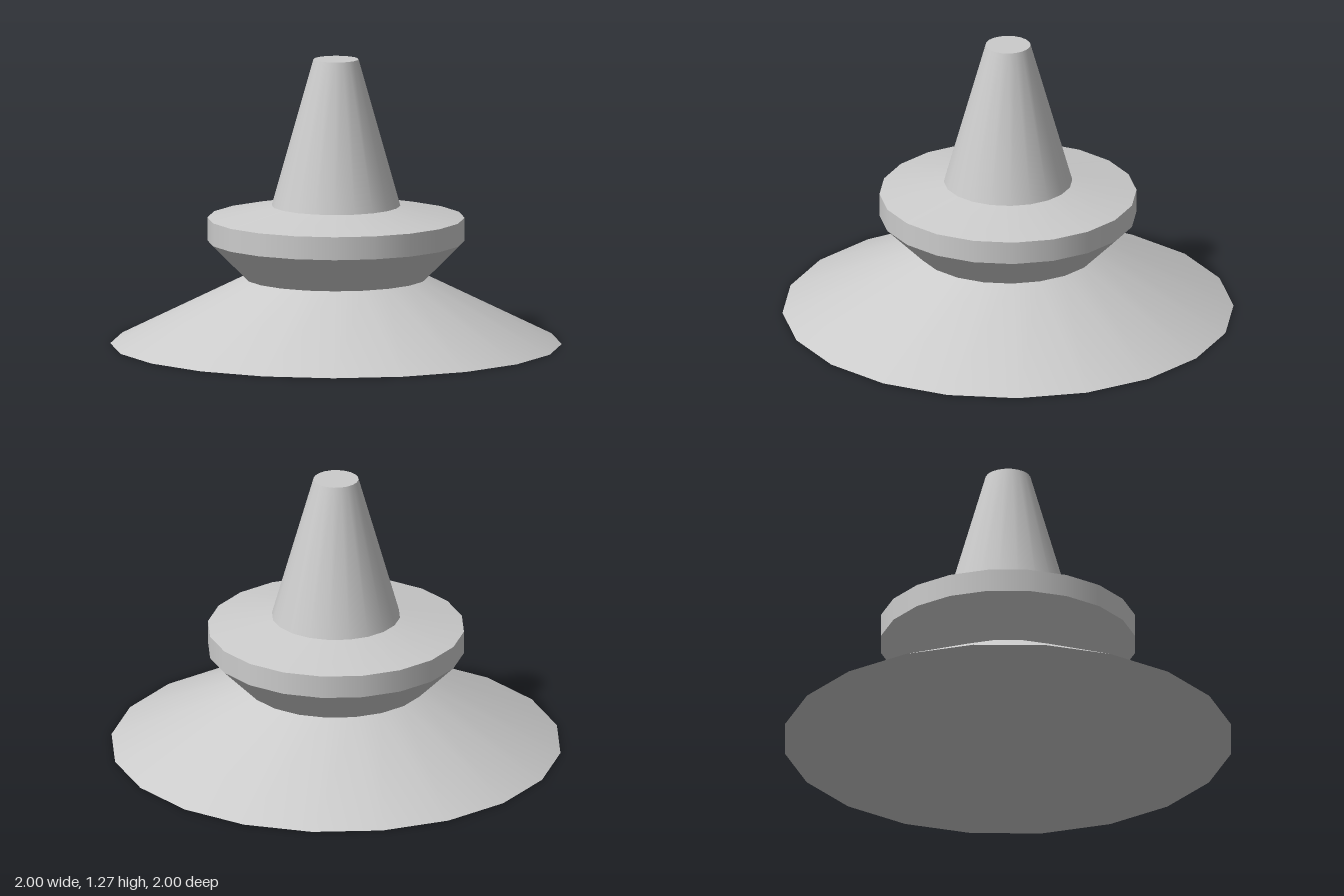
import * as THREE from 'three';

const SIDES = 20;

export function createModel() {
  const model = new THREE.Group();
  model.name = 'suctionBase';
  const material = new THREE.MeshStandardMaterial({ color: 0xcccccc });

  // Rings from bottom to top: [radius, height]; a section spans each pair
  const rings = [[1, 0], [0.405, 0.297], [0.57, 0.462], [0.57, 0.565], [0.285, 0.62], [0.1, 1.275]];
  const names = ['flaredFoot', 'collarUnderside', 'collarRim', 'collarTop', 'taperedStem'];

  names.forEach((name, i) => {
    const [r0, y0] = rings[i];
    const [r1, y1] = rings[i + 1];
    const section = new THREE.Mesh(new THREE.CylinderGeometry(r1, r0, y1 - y0, SIDES, 1, true), material);
    section.name = name;
    section.position.y = (y0 + y1) / 2;
    model.add(section);
  });

  // Flat discs closing the two ends, turned so their corners meet the rings
  const addCap = (name, [radius, y], tilt) => {
    const cap = new THREE.Mesh(new THREE.CircleGeometry(radius, SIDES), material);
    cap.name = name;
    cap.rotation.x = tilt;
    cap.position.y = y;
    model.add(cap);
  };
  addCap('footBottom', rings[0], Math.PI / 2);
  addCap('stemTip', rings[rings.length - 1], -Math.PI / 2);

  return model;
}
